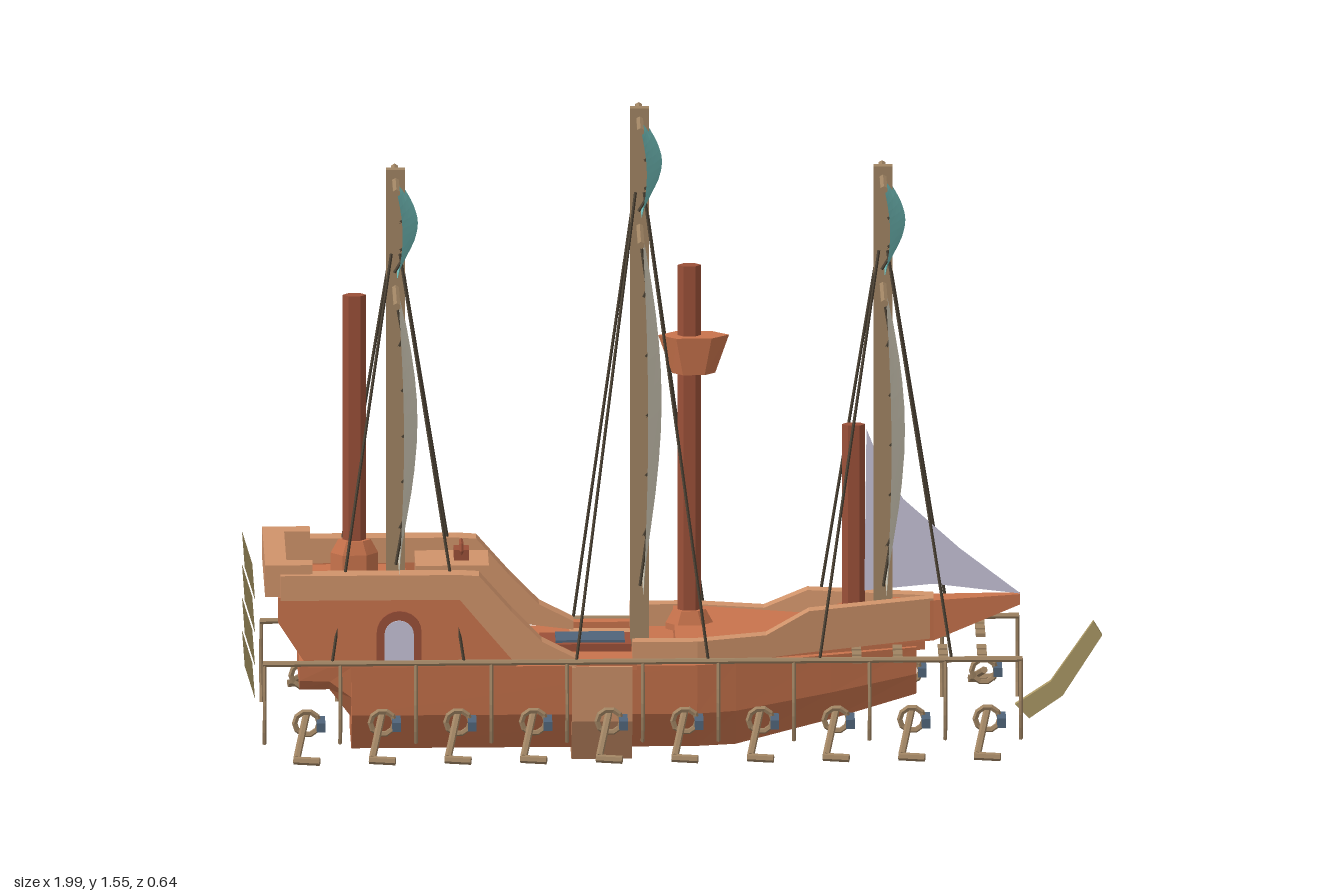
import * as THREE from 'three';

const mat = (name, color, extra = {}) => {
  const m = new THREE.MeshStandardMaterial({ color, flatShading: true, ...extra });
  m.name = name;
  return m;
};
const DS = { side: THREE.DoubleSide };

export function createModel() {
  const M = {
    hull: mat('hull orange', 0xc8734c), trim: mat('trim orange', 0xd0936a),
    wood: mat('tan timber', 0xa08463), red: mat('red timber', 0x9a5038),
    sail: mat('cream canvas', 0xd6cfbc, DS), teal: mat('teal canvas', 0x6fbab6, DS),
    pale: mat('lavender', 0xc6c3d8, DS), slate: mat('slate blue', 0x50647a),
    rope: mat('dark rope', 0x4c4234), olive: mat('olive timber', 0xaa9764, DS),
  };
  const ship = new THREE.Group();
  ship.name = 'ship';
  const add = (name, geo, m, parent = ship) => {
    const mesh = new THREE.Mesh(geo, m);
    mesh.name = name;
    parent.add(mesh);
    return mesh;
  };
  const V = (p) => new THREE.Vector3(...p);
  const box = (name, x0, x1, y0, y1, z0, z1, m, parent) => {
    const g = new THREE.BoxGeometry(x1 - x0, y1 - y0, z1 - z0);
    g.translate((x0 + x1) / 2, (y0 + y1) / 2, (z0 + z1) / 2);
    return add(name, g, m, parent);
  };
  const bar = (name, a, b, r, m, parent, sides = 6) => {
    const A = V(a), B = V(b), d = B.clone().sub(A);
    const g = new THREE.CylinderGeometry(r, r, d.length(), sides);
    g.applyQuaternion(new THREE.Quaternion().setFromUnitVectors(new THREE.Vector3(0, 1, 0), d.normalize()));
    g.translate(...A.add(B).multiplyScalar(0.5).toArray());
    return add(name, g, m, parent);
  };
  // Closed solid through equal-length loops, turned outward by its signed volume
  const loft = (name, loops, m, parent) => {
    const tris = [], n = loops[0].length, last = loops[loops.length - 1];
    for (let i = 0; i + 1 < loops.length; i++) for (let j = 0; j < n; j++) {
      const k = (j + 1) % n, p = loops[i], q = loops[i + 1];
      tris.push([p[j], p[k], q[j]], [p[k], q[k], q[j]]);
    }
    for (let j = 1; j + 1 < n; j++) {
      tris.push([loops[0][0], loops[0][j + 1], loops[0][j]], [last[0], last[j], last[j + 1]]);
    }
    const vol = tris.reduce((s, [a, b, c]) => s + V(a).dot(V(b).cross(V(c))), 0);
    if (vol < 0) tris.forEach((t) => t.reverse());
    const g = new THREE.BufferGeometry();
    g.setAttribute('position', new THREE.Float32BufferAttribute(tris.flat(2), 3));
    g.computeVertexNormals();
    return add(name, g, m, parent);
  };
  const rect = (x, y0, y1, z0, z1) => [[x, y0, z1], [x, y0, z0], [x, y1, z0], [x, y1, z1]];
  const beam = (x) => (x < 0.05 ? 0.157 : 0.157 - (x - 0.05) * 0.245); // half width along the ship

  // Lower hull: x, keel half width, keel height, deck half width
  const section = (x, b, y, w) => {
    const ym = y + (0.25 - y) * 0.45, wm = b + (w - b) * 0.85;
    return [[x, y, b], [x, y, -b], [x, ym, -wm], [x, 0.25, -w], [x, 0.25, w], [x, ym, wm]];
  };
  loft('hull', [[-0.87, 0.1, 0.18, 0.14], [-0.8, 0.1, 0.18, 0.15], [-0.75, 0.09, 0.11, 0.154], [-0.749, 0.08, 0.03, 0.154],
    [0.05, 0.08, 0.03, 0.157], [0.14, 0.072, 0.032, 0.14], [0.36, 0.04, 0.08, 0.085], [0.56, 0.006, 0.13, 0.03]]
    .map((s) => section(...s)), M.hull);
  loft('hullBand', [-0.24, -0.1].map((x) => section(x, 0.088, 0.003, 0.166)), M.trim);

  // Decks and prow
  const slab = (name, xs, y0, y1, m, inset = 0.02) =>
    loft(name, xs.map((x) => rect(x, y0, y1, -beam(x) + inset, beam(x) - inset)), m);
  slab('foreDeck', [0.0, 0.05, 0.58], 0.24, 0.305, M.hull, 0.012);
  loft('poopDeck', [rect(-0.91, 0.36, 0.41, -0.13, 0.13), rect(-0.85, 0.25, 0.41, -0.14, 0.14),
    rect(-0.62, 0.25, 0.41, -0.14, 0.14)], M.hull);
  loft('prow', [rect(0.48, 0.26, 0.355, -0.045, 0.045), rect(0.6, 0.265, 0.362, -0.026, 0.026),
    rect(0.8, 0.345, 0.37, -0.008, 0.008)], M.hull);

  // Side walls, mirrored; each row is x, bottom, top
  for (const s of [1, -1]) {
    const wall = (name, rows, out, thick, m) => loft(name, rows.map(([x, y0, y1]) =>
      rect(x, y0, y1, s * (beam(x) + out - thick), s * (beam(x) + out))), m);
    wall('castleWall', [[-0.92, 0.36, 0.42], [-0.85, 0.25, 0.42], [-0.5, 0.25, 0.42], [-0.37, 0.25, 0.27]], 0, 0.025, M.hull);
    wall('castleRail', [[-0.915, 0.415, 0.475], [-0.5, 0.415, 0.475], [-0.455, 0.36, 0.472], [-0.38, 0.27, 0.385],
      [-0.31, 0.26, 0.312], [-0.23, 0.25, 0.27]], 0.007, 0.04, M.trim);
    wall('midWall', [[-0.24, 0.24, 0.265], [-0.09, 0.24, 0.265]], 0.002, 0.025, M.hull);
    wall('foreRail', [[-0.1, 0.255, 0.308], [0.05, 0.255, 0.308], [0.21, 0.255, 0.31], [0.31, 0.26, 0.36], [0.6, 0.27, 0.367]],
      0.003, 0.03, M.trim);
    box('sternRailSide', -0.95, -0.84, 0.42, 0.497, s * 0.13 - 0.02, s * 0.13 + 0.02, M.trim);
    // Arched window
    const arch = (name, w, h, z, m) => {
      const shape = new THREE.Shape().moveTo(-w, 0).lineTo(w, 0).lineTo(w, h - w);
      shape.absarc(0, h - w, w, 0, Math.PI).lineTo(-w, 0);
      const g = new THREE.ExtrudeGeometry(shape, { depth: 0.006, bevelEnabled: false, curveSegments: 6 });
      g.translate(-0.64, 0.265, s > 0 ? z : -z - 0.006);
      add(name, g, m);
    };
    arch('windowFrame', 0.052, 0.122, 0.156, M.red);
    arch('windowPane', 0.034, 0.1, 0.159, M.pale);
    // Stairs up to the poop
    for (let i = 0; i < 4; i++) {
      box('stair', -0.61 + i * 0.055, -0.555 + i * 0.055, 0.25, 0.385 - i * 0.034, s * 0.095 - 0.028, s * 0.095 + 0.028, i % 2 ? M.red : M.hull);
    }
  }
  box('sternRail', -0.95, -0.9, 0.42, 0.497, -0.13, 0.13, M.trim);
  box('helmCabin', -0.6, -0.43, 0.25, 0.465, -0.06, 0.06, M.trim);
  box('helmStand', -0.51, -0.475, 0.465, 0.49, -0.02, 0.02, M.red);
  const wheel = add('helmWheel', new THREE.TorusGeometry(0.02, 0.005, 5, 8), M.red);
  wheel.rotation.y = Math.PI / 2;
  wheel.position.set(-0.493, 0.488, 0);
  box('hatchFrame', -0.31, -0.1, 0.25, 0.268, -0.046, 0.046, M.red);
  box('hatchCover', -0.275, -0.115, 0.268, 0.274, -0.034, 0.034, M.slate);

  // Pleated stern gallery with panes
  for (let r = 0; r < 4; r++) {
    const y = 0.17 + r * 0.08;
    const pleat = (name, z0, z1, a, b, m, off) => {
      const at = (t, z) => [-0.973 - 0.024 * t - off, y + 0.08 * t, z];
      const g = new THREE.BufferGeometry();
      g.setAttribute('position', new THREE.Float32BufferAttribute(
        [at(a, z0), at(a, z1), at(b, z1), at(a, z0), at(b, z1), at(b, z0)].flat(), 3));
      g.computeVertexNormals();
      add(name, g, m);
    };
    pleat('galleryPanel', -0.14, 0.14, 0, 1, M.olive, 0);
    for (let c = 0; c < 4; c++) {
      const z = -0.105 + c * 0.07;
      pleat('galleryPane', z - 0.023, z + 0.023, 0.2, 0.8, M.slate, 0.002);
    }
  }

  // Red funnel masts with flared bases
  const diamond = (y, rx, rz, cx) => [0, 1, 2, 3, 4, 5].map((i) =>
    [cx + rx * Math.cos(i * Math.PI / 3), y, rz * Math.sin(i * Math.PI / 3)]);
  for (const [x, y0, y1] of [[-0.74, 0.41, 1.105], [0.035, 0.29, 1.172], [0.415, 0.3, 0.783]]) {
    const foot = x < -0.5 ? 0.48 : y0 + 0.015;
    loft('redMast', [diamond(y0, 0.027, 0.015, x), diamond(y1, 0.027, 0.015, x)], M.red);
    loft('redMastBase', [diamond(y0, 0.055, 0.03, x), diamond(foot, 0.055, 0.03, x), diamond(foot + 0.032, 0.038, 0.02, x)], M.hull);
  }
  loft('lookoutNest', [diamond(0.91, 0.05, 0.022, 0.045), diamond(1.002, 0.082, 0.034, 0.045)], M.hull);

  // Sails, masts, yards and stays
  const sail = (name, x, y0, y1, w0, w1, bulge, m) => {
    const at = (u, v) => [x + bulge * Math.sin(Math.PI * v) * (1 - 0.75 * u * u),
      y0 + (y1 - y0) * v, u * (w0 + (w1 - w0) * v - 0.006 * Math.sin(Math.PI * v))];
    const g = new THREE.PlaneGeometry(2, 1, 8, 12), p = g.attributes.position;
    for (let i = 0; i < p.count; i++) p.setXYZ(i, ...at(-p.getX(i), p.getY(i) + 0.5));
    g.computeVertexNormals();
    add(name, g, m);
    return at;
  };
  const seam = (at, pts, r) => add('sailBatten', new THREE.TubeGeometry(new THREE.CatmullRomCurve3(
    pts.map(([u, v]) => V(at(u, v)).add(new THREE.Vector3(-0.006, 0, 0)))), 8, r, 4), M.rope);
  for (const [x, base, top, low] of [[-0.645, 0.41, 1.41, 0.475], [-0.08, 0.25, 1.555, 0.42], [0.483, 0.3, 1.41, 0.415]]) {
    box('mast', x - 0.022, x + 0.022, base, top, -0.01, 0.01, M.wood);
    const main = sail('mainSail', x + 0.005, low, top - 0.29, 0.163, 0.147, 0.046, M.sail);
    const upper = sail('topSail', x + 0.002, top - 0.235, top - 0.03, 0.11, 0.1, 0.05, M.teal);
    for (const v of [0.17, 0.34, 0.51, 0.68, 0.85]) seam(main, [-1, -0.5, 0, 0.5, 1].map((u) => [u, v]), 0.0035);
    for (const v of [0.33, 0.66]) seam(upper, [-1, -0.5, 0, 0.5, 1].map((u) => [u, v]), 0.0035);
    for (const u of [-0.5, 0.5]) {
      seam(main, [0, 0.25, 0.5, 0.75, 1].map((v) => [u, v]), 0.0035);
      seam(upper, [0, 0.25, 0.5, 0.75, 1].map((v) => [u, v]), 0.0035);
    }
    bar('topYard', [x, top - 0.028, -0.1], [x, top - 0.028, 0.1], 0.009, M.wood);
    bar('mainYard', [x, top - 0.288, -0.15], [x, top - 0.288, 0.15], 0.009, M.wood);
    for (const s of [1, -1]) for (const dx of [-0.15, 0.155]) {
      bar('stay', [x + Math.sign(dx) * 0.01, top - 0.2, s * 0.02], [x + dx, 0.265, s * 0.166], 0.0035, M.rope, ship, 4);
    }
  }
  const jib = new THREE.Shape([[0.44, 0.38], [0.6, 0.395], [0.8, 0.37], [0.66, 0.48], [0.53, 0.6], [0.48, 0.68], [0.445, 0.77]]
    .map((p) => new THREE.Vector2(...p)));
  const jibGeo = new THREE.ExtrudeGeometry(jib, { depth: 0.005, bevelEnabled: false });
  jibGeo.translate(0, 0, -0.0025);
  add('jib', jibGeo, M.pale);

  // Ram ahead of the bow
  loft('ram', [[0.805, 0.085], [0.885, 0.14], [0.98, 0.285]].map(([x, y], i) => {
    const w = 0.017, h = [0.016, 0.014, 0.01][i];
    return [[x - h, y + w, -0.007], [x - h, y + w, 0.007], [x + h, y - w, 0.007], [x + h, y - w, -0.007]];
  }), M.olive);

  // Outboard rails, hanging posts and oars
  for (const s of [1, -1]) {
    const rig = new THREE.Group();
    rig.name = s > 0 ? 'leftOars' : 'rightOars';
    ship.add(rig);
    bar('rail', [-0.955, 0.263, s * 0.166], [0.802, 0.263, s * 0.166], 0.007, M.wood, rig);
    for (let i = 0; i < 11; i++) {
      const x = -0.952 + i * 0.175;
      add('railPost', new THREE.TubeGeometry(new THREE.CatmullRomCurve3([[x, 0.265, s * 0.166], [x, 0.17, s * 0.18],
        [x, 0.12, s * 0.177], [x, 0.068, s * 0.162]].map(V)), 6, 0.005, 5), M.wood, rig);
      if (i === 10) break;
      const c = x + 0.09;
      const ring = add('oarRing', new THREE.TorusGeometry(0.028, 0.007, 5, 10), M.wood, rig);
      ring.position.set(c + 0.008, 0.125, s * 0.185);
      box('oarLock', c + 0.03, c + 0.05, 0.114, 0.136, s * 0.195 - 0.028, s * 0.195 + 0.028, M.slate, rig);
      bar('oarShaft', [c + 0.008, 0.137, s * 0.15], [c - 0.018, 0.073, s * 0.295], 0.0085, M.wood, rig);
      bar('oarBlade', [c - 0.025, 0.07, s * 0.297], [c + 0.035, 0.07, s * 0.309], 0.0095, M.wood, rig);
    }
    // Short cross pieces beside the bow
    for (const x of [0.42, 0.515, 0.62, 0.71]) for (const z of [0.055, 0.1, 0.142]) {
      box('crossPiece', x - 0.011, x + 0.011, 0.252, 0.26, s * z - 0.016, s * z + 0.016, M.wood, rig);
    }
  }
  return ship;
}
